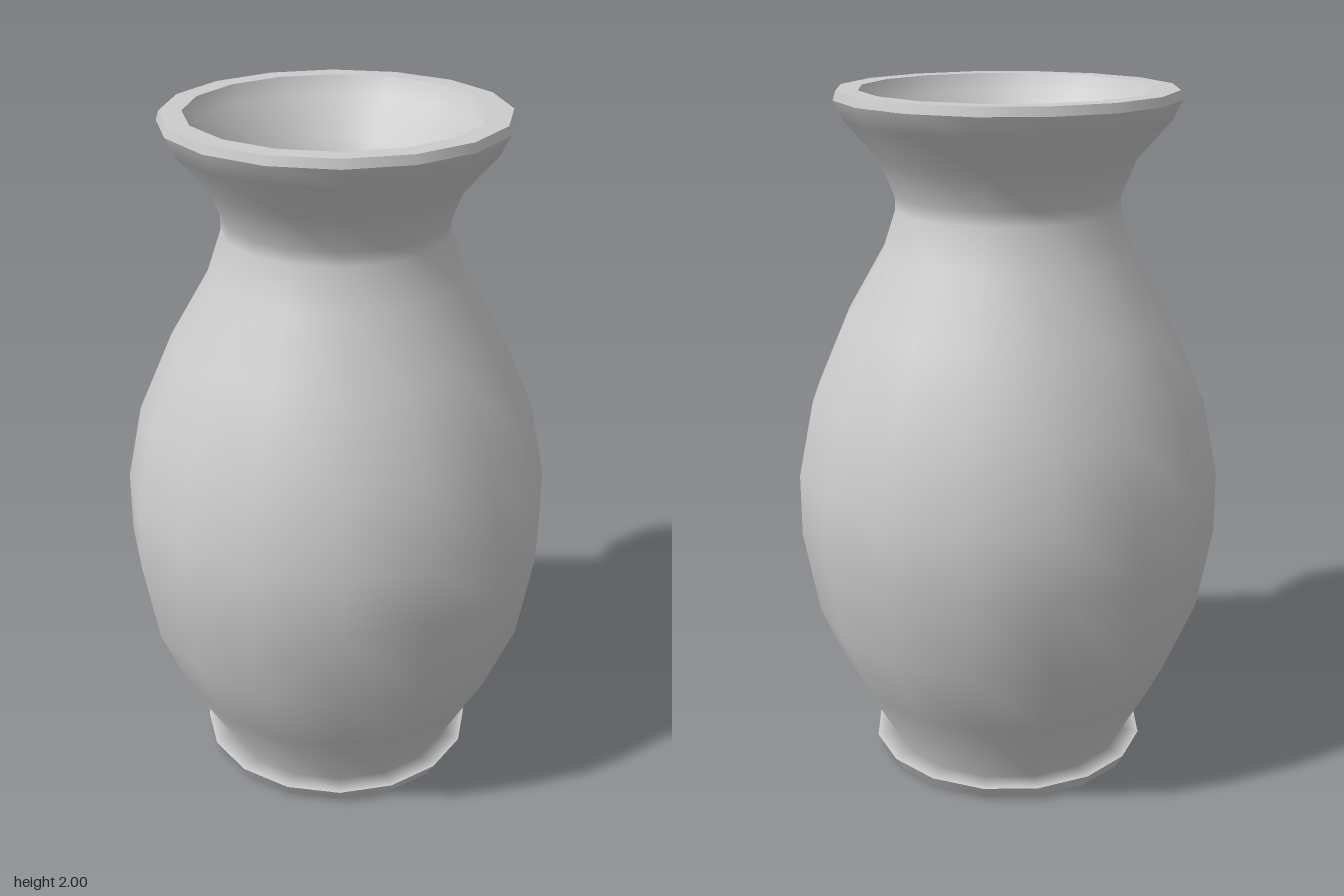
import * as THREE from 'three';

const SIDES = 16;

export function createModel() {
  const vase = new THREE.Group();
  vase.name = 'vase';
  const material = new THREE.MeshStandardMaterial({ color: 0xcccccc });

  // Each band is smooth within itself; edges between bands stay sharp.
  const addBand = (name, profile) => {
    const points = profile.map(([r, y]) => new THREE.Vector2(r, y));
    const mesh = new THREE.Mesh(new THREE.LatheGeometry(points, SIDES), material);
    mesh.name = name;
    vase.add(mesh);
  };

  // Foot: flat underside and a flared edge
  addBand('underside', [[0, 0], [0.385, 0]]);
  addBand('footEdge', [[0.385, 0], [0.41, 0.042]]);

  // Outer wall from the foot ledge over the belly and neck to the flared lip
  addBand('outerWall', [
    [0.41, 0.042], [0.355, 0.05], [0.48, 0.27], [0.57, 0.48], [0.615, 0.73],
    [0.615, 0.91], [0.57, 1.13], [0.47, 1.36], [0.36, 1.55], [0.32, 1.67],
    [0.32, 1.71], [0.36, 1.81], [0.455, 1.92], [0.482, 1.975],
  ]);

  // Lip: thin bevel and flat top
  addBand('lipEdge', [[0.482, 1.975], [0.475, 2]]);
  addBand('rim', [[0.475, 2], [0.413, 2]]);

  // Hollow inside, following the outer wall down to the floor
  addBand('innerWall', [
    [0.413, 2], [0.39, 1.95], [0.3, 1.84], [0.25, 1.73], [0.25, 1.66],
    [0.3, 1.52], [0.41, 1.32], [0.5, 1.11], [0.545, 0.9], [0.545, 0.74],
    [0.5, 0.5], [0.41, 0.3], [0.29, 0.11], [0, 0.08],
  ]);

  return vase;
}
